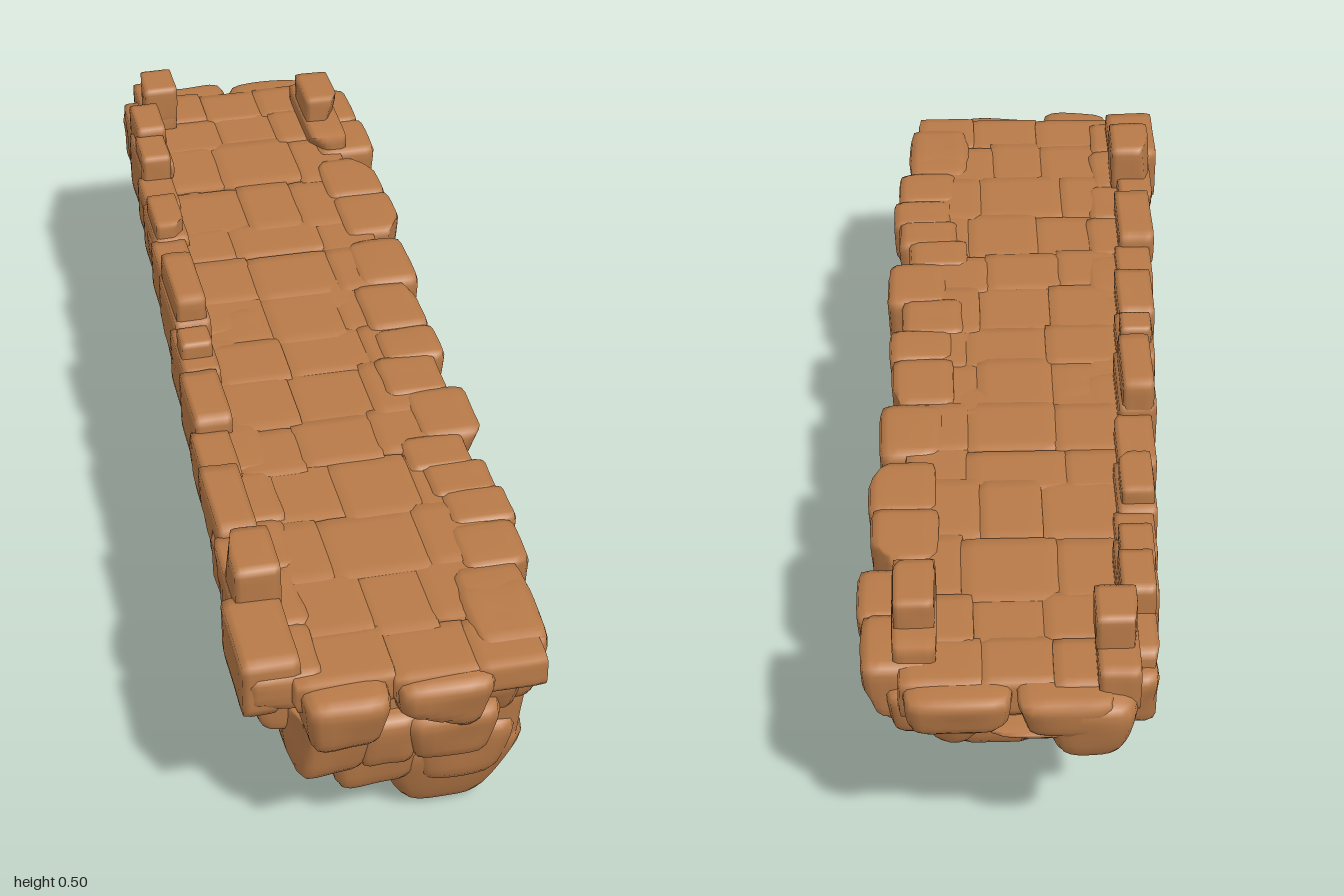
import * as THREE from 'three';
import { mergeVertices } from 'three/addons/utils/BufferGeometryUtils.js';

const stone = new THREE.MeshStandardMaterial({ color: 0xb87a48 });
stone.name = 'brown stone';

// small seeded random generator
let seed = 11;
function rand(a = 0, b = 1) {
  seed = (seed * 16807) % 2147483647;
  return a + (b - a) * (seed / 2147483647);
}

// linear lookup in a list of [z, value]
function lookup(list, z) {
  for (let i = 1; i < list.length; i++) {
    const [z0, a] = list[i - 1], [z1, b] = list[i];
    if (z <= z1) return a + (b - a) * Math.max(0, (z - z0) / (z1 - z0));
  }
  return list[list.length - 1][1];
}

// rounded, chipped stone filling a box; taper narrows its underside
function rock(parent, name, x, y, z, { n = 6, taper = 0, chips = 2, noise = 0.03, seg = 7 } = {}) {
  let g = new THREE.BoxGeometry(2, 2, 2, seg, seg, seg);
  g.deleteAttribute('uv');
  g.deleteAttribute('normal');
  g = mergeVertices(g);
  const planes = [];
  for (let i = 0; i < chips; i++) {
    const d = new THREE.Vector3(rand(-1, 1), rand(-1, 0.1), rand(-1, 1)).normalize();
    planes.push([d, rand(0.9, 1.1)]);
  }
  const ph = [rand(0, 6), rand(0, 6), rand(0, 6)];
  const p = g.attributes.position, v = new THREE.Vector3();
  for (let i = 0; i < p.count; i++) {
    v.fromBufferAttribute(p, i);
    const s = Math.pow(Math.abs(v.x) ** n + Math.abs(v.y) ** n + Math.abs(v.z) ** n, -1 / n);
    v.multiplyScalar(s);
    for (const [d, h] of planes) {
      const over = v.dot(d) - h;
      if (over > 0) v.addScaledVector(d, -over);
    }
    const w = Math.sin(2.7 * v.x + ph[0]) * Math.sin(2.3 * v.y + ph[1]) + Math.sin(3.1 * v.z + ph[2]) * 0.6;
    v.multiplyScalar(1 + noise * w);
    const t = 1 - taper * (1 - v.y) / 2;
    p.setXYZ(i, v.x * t, v.y, v.z * t);
  }
  g.scale((x[1] - x[0]) / 2, (y[1] - y[0]) / 2, (z[1] - z[0]) / 2);
  g.translate((x[0] + x[1]) / 2, (y[0] + y[1]) / 2, (z[0] + z[1]) / 2);
  g.computeVertexNormals();
  const m = new THREE.Mesh(g, stone);
  m.name = name;
  parent.add(m);
}

// plan outline, deck height and keel of the bridge, by z
const deckLeft = z => -0.155 - 0.045 * z;
const deckRight = z => 0.205 - 0.02 * z;
const deckTop = z => 0.399 - 0.008 * z;
const wallOuter = z => -0.238 - 0.062 * z;
const keel = [[-0.9, 0.3], [-0.8, 0.245], [-0.69, 0.26], [-0.58, 0.245], [-0.47, 0.235], [-0.36, 0.165],
  [-0.26, 0.215], [-0.16, 0.23], [-0.05, 0.225], [0.08, 0.215], [0.2, 0.15], [0.31, 0.155], [0.43, 0.175],
  [0.55, 0.13], [0.66, 0.09], [0.79, 0]];

function group(parent, name) {
  const g = new THREE.Group();
  g.name = name;
  parent.add(g);
  return g;
}

export function createModel() {
  const model = new THREE.Group();
  model.name = 'stoneBridge';

  // solid core under the paving
  const plan = new THREE.Shape([[-0.2, -0.92], [0.15, -0.9], [0.22, 0.9], [-0.1, 0.94]]
    .map(([x, y]) => new THREE.Vector2(x, y)));
  const coreGeo = new THREE.ExtrudeGeometry(plan, { depth: 0.09, bevelEnabled: false });
  coreGeo.rotateX(-Math.PI / 2).translate(0, 0.295, 0);
  const core = new THREE.Mesh(coreGeo, stone);
  core.name = 'core';
  model.add(core);

  // paving slabs in uneven rows of three
  const paving = group(model, 'paving');
  for (let z0 = -0.93; z0 < 0.9;) {
    const z1 = z0 > 0.75 ? 0.93 : z0 + rand(0.1, 0.16);
    const a = deckLeft(z0) - 0.02, b = deckRight(z0);
    const cuts = [a, a + (b - a) * rand(0.25, 0.4), a + (b - a) * rand(0.6, 0.75), b];
    for (let c = 0; c < 3; c++) {
      const dz = rand(-0.012, 0.012);
      rock(paving, 'slab', [cuts[c] - 0.005, cuts[c + 1] + 0.005], [0.34, deckTop(z0) + rand(-0.001, 0.003)],
        [z0 + dz - 0.008, z1 + dz + 0.012], { n: 16, chips: 0, noise: 0.004, seg: 6 });
    }
    z0 = z1;
  }

  // stones across both ends: x range, y range, z range
  const ends = group(model, 'endStones');
  [[-0.215, -0.062, 0.272, 0.39, 0.8, 1], [-0.062, 0.112, 0.272, 0.388, 0.8, 0.985],
    [0.085, 0.215, 0.25, 0.4, 0.72, 0.915], [-0.235, -0.075, 0.175, 0.31, 0.75, 0.95],
    [-0.12, 0.0, 0.18, 0.3, 0.78, 0.945], [-0.04, 0.13, 0.18, 0.3, 0.74, 0.955], [0.07, 0.19, 0.125, 0.29, 0.7, 0.89],
    [-0.155, 0.02, 0.092, 0.23, 0.72, 0.9], [-0.02, 0.175, 0.08, 0.22, 0.7, 0.9]]
    .forEach(([a, b, c, d, e, f]) => rock(ends, 'frontStone', [a, b], [c, d], [e, f], { taper: 0.28, chips: 1 }));
  [[-0.115, 0.045, 0.325, 0.405, -1, -0.82], [0.045, 0.225, 0.325, 0.403, -0.99, -0.82],
    [-0.14, 0.02, 0.27, 0.36, -0.94, -0.76], [0.0, 0.15, 0.26, 0.36, -0.94, -0.76],
    [0.12, 0.25, 0.28, 0.37, -0.93, -0.75]]
    .forEach(([a, b, c, d, e, f]) => rock(ends, 'backStone', [a, b], [c, d], [e, f], { taper: 0.2, chips: 1 }));

  // jagged facing along the left-hand side: z range, outer x
  const sides = group(model, 'sideStones');
  [[-0.9, -0.76, 0.29], [-0.77, -0.64, 0.297], [-0.62, -0.47, 0.277], [-0.48, -0.33, 0.282], [-0.31, -0.15, 0.266],
    [-0.15, -0.0, 0.247], [0, 0.1, 0.25], [0.09, 0.21, 0.228], [0.2, 0.345, 0.256], [0.34, 0.43, 0.215],
    [0.42, 0.51, 0.235], [0.5, 0.59, 0.246], [0.59, 0.71, 0.236], [0.7, 0.9, 0.212]].forEach(([a, b, x]) => {
    const m = (a + b) / 2, top = deckTop(m);
    const low = Math.max(0.225, Math.min(0.26, lookup(keel, m) + 0.05));
    rock(sides, 'leftFacing', [x - 0.12, x], [rand(0.29, 0.315), top + 0.006], [a - 0.004, b + 0.004],
      { n: 9, taper: 0.12, noise: 0.015 });
    rock(sides, 'lowerLeft', [x - 0.17, x - 0.03], [low, 0.34], [a - 0.01, b + 0.03], { n: 4.5, taper: 0.35, noise: 0.04 });
  });

  // facing below the parapet on the right-hand side
  for (let z = -0.92; z < 0.8;) {
    const end = z > 0.68 ? 0.91 : z + rand(0.12, 0.17), m = (z + end) / 2, x = wallOuter(m);
    const low = Math.max(0.245, Math.min(0.265, lookup(keel, m) + 0.05));
    rock(sides, 'rightFacing', [x, x + 0.13], [rand(0.29, 0.32), 0.4], [z - 0.01, end + 0.005], { n: 9, taper: 0.1 });
    rock(sides, 'lowerRight', [x + 0.015, x + 0.17], [low, 0.34], [z + 0.02, Math.min(0.88, end + 0.04)],
      { n: 4.5, taper: 0.3, noise: 0.04 });
    z = end;
  }

  // hanging stones along the underside, deepest below the front
  const under = group(model, 'underside');
  keel.forEach(([z, y], i) => {
    const front = z > 0.7;
    const x = front ? 0.06 : -0.04 * z + (i % 2 ? 0.045 : -0.03);
    const rx = front ? 0.15 : 0.1, rz = front ? 0.105 : 0.092;
    rock(under, 'keelStone', [x - rx, x + rx], [y, Math.min(0.34, y + 0.19)], [z - rz, z + rz],
      { n: 4.5, taper: front ? 0.58 : 0.52, chips: front ? 0 : 3, noise: front ? 0.012 : 0.04 });
    if (y < 0.18) rock(under, 'keelBlock', [-0.14 - 0.03 * z, 0.15], [y + 0.09, 0.33], [z - 0.09, z + 0.08], { n: 4, taper: 0.45 });
    for (const s of [-1, 1]) {
      const cx = -0.03 * z + s * 0.1, b = Math.max(0.15, Math.min(y + 0.05, 0.27));
      rock(under, 'underStone', [cx - 0.083, cx + 0.083], [b, b + 0.13], [z - 0.085 + s * 0.02, z + 0.075 + s * 0.02],
        { n: 4, taper: 0.38, noise: 0.04 });
    }
  });

  // low broken parapet along the right-hand side: z range, top height, width
  const parapet = group(model, 'parapet');
  const wall = { n: 18, chips: 1, noise: 0.01, taper: 0.03 };
  [[0.73, 0.91, 0.425, 0.098], [0.56, 0.74, 0.42], [0.38, 0.57, 0.432], [0.25, 0.39, 0.41], [0.1, 0.26, 0.436],
    [-0.05, 0.11, 0.43], [-0.22, -0.04, 0.44], [-0.37, -0.21, 0.42], [-0.51, -0.36, 0.42], [-0.62, -0.5, 0.415],
    [-0.76, -0.61, 0.44], [-0.9, -0.75, 0.43]].forEach(([a, b, top, w = 0.07]) => {
    const x = wallOuter((a + b) / 2) + (a > 0.7 ? -0.008 : 0);
    rock(parapet, 'parapetStone', [x, x + w], [0.32, top], [a, b], wall);
  });
  [[0.63, 0.75, 0.487], [0, 0.06, 0.462], [-0.22, -0.05, 0.485], [-0.49, -0.37, 0.45], [-0.7, -0.6, 0.465],
    [-0.8, -0.69, 0.48]].forEach(([a, b, top]) => {
    const x = wallOuter((a + b) / 2) + 0.005;
    rock(parapet, 'parapetCap', [x, x + (a > 0.5 ? 0.08 : 0.058)], [0.39, top], [a, b], wall);
  });

  // corner posts at the back
  const posts = group(model, 'backPosts');
  rock(posts, 'rightPostBase', [-0.154, -0.085], [0.36, 0.44], [-0.96, -0.81], wall);
  rock(posts, 'rightPost', [-0.152, -0.083], [0.42, 0.5], [-0.9, -0.81], wall);
  rock(posts, 'leftPostBase', [0.166, 0.238], [0.37, 0.44], [-0.89, -0.65], wall);
  rock(posts, 'leftPost', [0.168, 0.236], [0.42, 0.49], [-0.84, -0.72], wall);

  return model;
}
